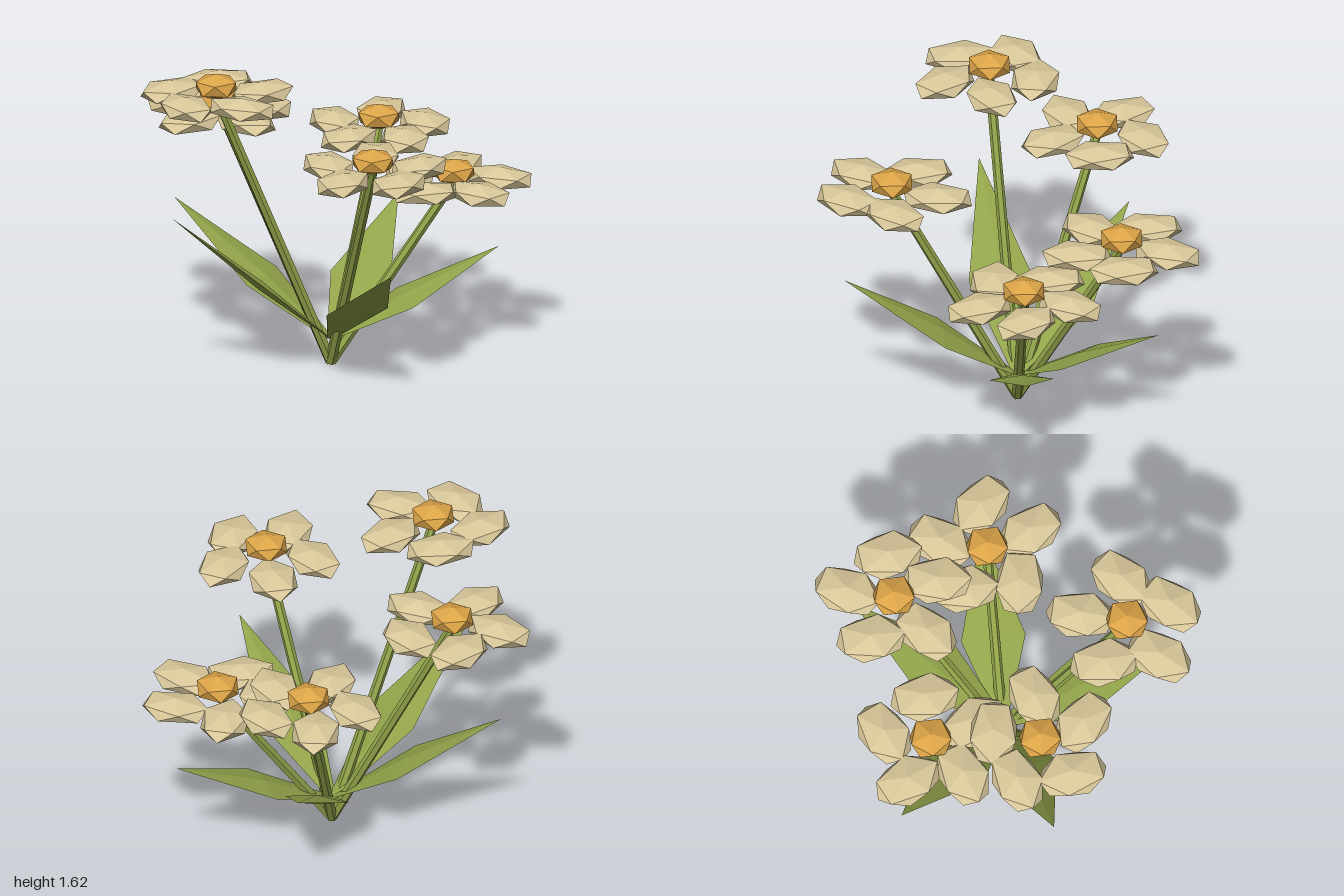
import * as THREE from 'three';

const V = (x, y, z) => new THREE.Vector3(x, y, z);

export function createModel() {
  const model = new THREE.Group();
  model.name = 'flowerClump';

  const mat = (name, color) => {
    const m = new THREE.MeshStandardMaterial({ color, flatShading: true });
    m.name = name;
    return m;
  };
  const green = mat('leafGreen', 0x92a44a);
  const cream = mat('petalCream', 0xdac99b);
  const amber = mat('centreAmber', 0xdda548);

  // Icosahedron standing on one corner, shared by petals and flower centres
  const ico = new THREE.IcosahedronGeometry(1, 0);
  ico.rotateZ(Math.atan(2 / (1 + Math.sqrt(5))));

  // Flattened, four-sided spindle: unit length along y
  const leafGeo = new THREE.LatheGeometry(
    [[0, 0], [0.15, 0.01], [1, 0.44], [0, 1]].map(([r, y]) => new THREE.Vector2(r, y)), 4);

  const add = (parent, name, geo, material) => {
    const m = new THREE.Mesh(geo, material);
    m.name = name;
    parent.add(m);
    return m;
  };

  // Straight stem between two points
  function addStem(from, to) {
    const dir = to.clone().sub(from);
    const stem = add(model, 'stem', new THREE.CylinderGeometry(0.024, 0.028, dir.length(), 6), green);
    stem.position.copy(from).addScaledVector(dir, 0.5);
    stem.quaternion.setFromUnitVectors(V(0, 1, 0), dir.normalize());
  }

  // Leaf lying along a line, with its width kept level
  function addLeaf(from, to) {
    const dir = to.clone().sub(from);
    const length = dir.length();
    dir.normalize();
    const side = V(0, 1, 0).cross(dir).normalize();
    const leaf = add(model, 'leaf', leafGeo, green);
    leaf.position.copy(from);
    leaf.quaternion.setFromRotationMatrix(
      new THREE.Matrix4().makeBasis(side, dir, side.clone().cross(dir)));
    leaf.scale.set(0.162, length, 0.022);
  }

  // Five flat petals around a raised centre; turns are each petal's own heading in degrees
  function addFlower(at, turns) {
    const flower = new THREE.Group();
    flower.name = 'flower';
    flower.position.copy(at);
    turns.forEach((turn, i) => {
      const a = (i / 5) * Math.PI * 2;
      const petal = add(flower, 'petal', ico, cream);
      petal.position.set(0.237 * Math.cos(a), 0, 0.237 * Math.sin(a));
      petal.rotation.y = THREE.MathUtils.degToRad(turn);
      petal.scale.set(0.195, 0.054, 0.134);
    });
    const centre = add(flower, 'flowerCentre', ico, amber);
    centre.position.y = 0.052;
    centre.scale.set(0.118, 0.065, 0.118);
    model.add(flower);
  }

  // Each plant shoot: flower position, leaf tip, petal headings
  const shoots = [
    [V(-0.65, 1.5, 0.05), V(-0.89, 0.89, 0.09), [20, -45, -80, 20, -10]],
    [V(-0.49, 1.24, -0.48), V(-0.68, 0.74, -0.65), [95, 120, 20, 115, 25]],
    [V(0.02, 1.215, 0.57), V(0.05, 0.735, 0.81), [40, 45, 50, 95, 75]],
    [V(0.35, 1.05, -0.56), V(0.5, 0.63, -0.74), [95, 85, 40, 92, 60]],
    [V(0.605, 0.905, -0.06), V(0.84, 0.545, -0.06), [-45, -60, -10, 90, 50]],
  ];
  for (const [head, leafTip, turns] of shoots) {
    addStem(V(-0.03, 0.012, -0.06), head);
    addLeaf(V(-0.03, 0.13, -0.06), leafTip);
    addFlower(head, turns);
  }
  return model;
}
